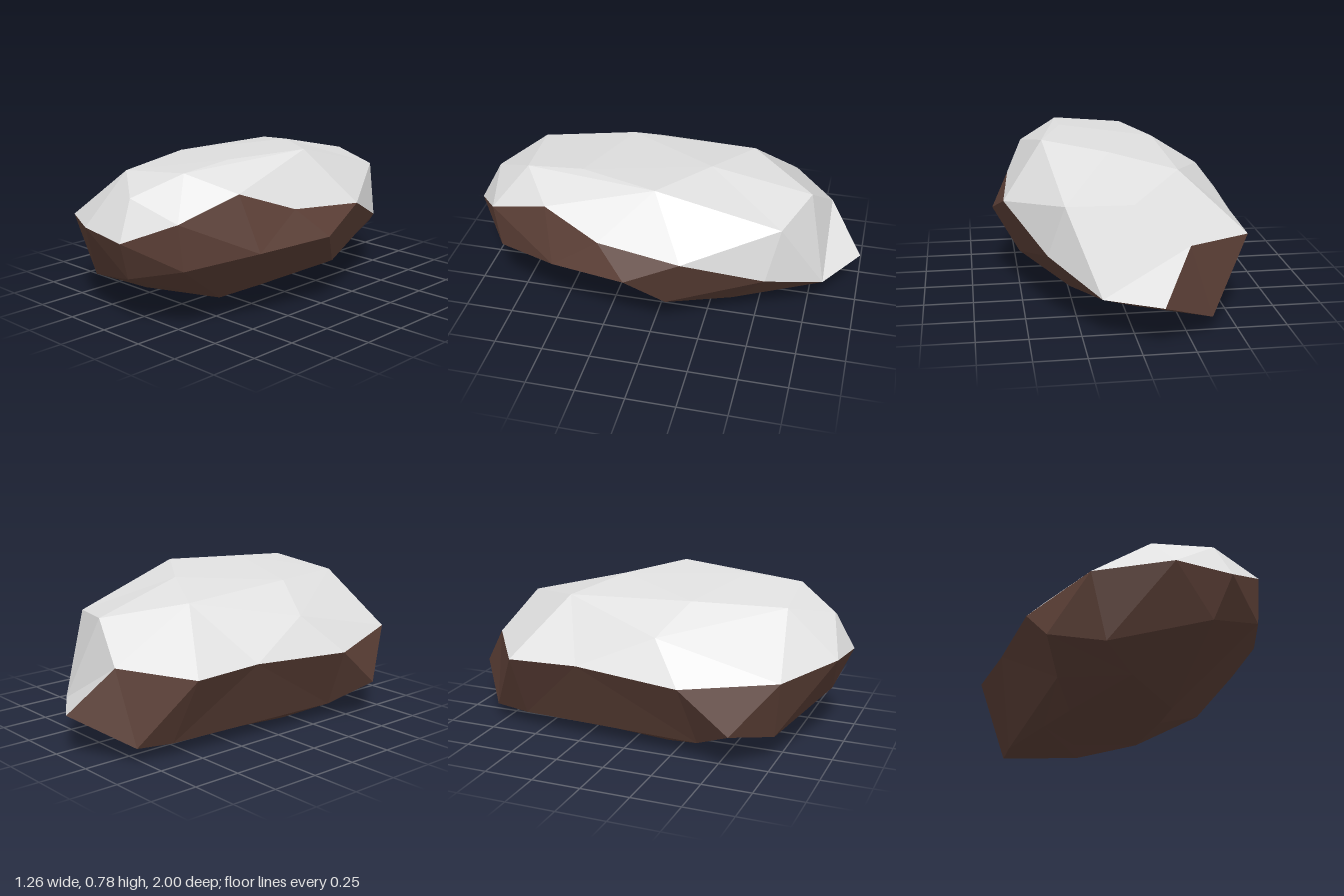
import * as THREE from 'three';

// Cross-section loops, each running front -> +x -> back -> -x, as [x, y, z]
const base = [
  [-0.18, 0.065, 0.58], [0.13, 0.03, 0.36], [0.18, 0.05, 0.12],
  [-0.15, 0.008, -0.25], [-0.36, 0.04, -0.14], [-0.34, 0.01, 0.18],
];
const belly = [
  [0.08, 0.25, 0.91], [0.37, 0.33, 0.82], [0.54, 0.38, 0.49], [0.63, 0.4, 0.1],
  [0.5, 0.21, -0.08], [0.27, 0.115, -0.38], [-0.05, 0.02, -0.46], [-0.37, 0.08, -0.79],
  [-0.4, 0.07, -0.6], [-0.48, 0.08, 0.38], [-0.61, 0.19, 0.58], [-0.38, 0.13, 0.74],
];
const tip = [-0.1, 0.22, -1];
const snowLine = [
  [0.14, 0.455, 1], [0.37, 0.56, 0.85], [0.45, 0.66, 0.54], [0.54, 0.55, 0.25], [0.58, 0.51, -0.17],
  [0.39, 0.34, -0.56], [0.16, 0.21, -0.83], tip, [-0.25, 0.45, -0.82], [-0.58, 0.42, -0.59],
  [-0.58, 0.43, -0.22], [-0.63, 0.4, 0.33], [-0.48, 0.44, 0.79], [-0.14, 0.475, 0.98],
];
const brow = [0.1, 0.645, 0.9];
const shoulder = [
  [0.24, 0.75, 0.69], [0.37, 0.78, 0], [0.31, 0.6, -0.62], [0, 0.63, -0.73],
  [-0.27, 0.7, -0.39], [-0.48, 0.59, 0.16], [-0.14, 0.71, 0.72],
];
const crown = [[0.24, 0.77, 0.4], [0.05, 0.757, -0.22], [-0.25, 0.725, 0.26]];

const distance = (p, q) => Math.hypot(p[0] - q[0], p[1] - q[1], p[2] - q[2]);

// Triangles between two loops of any size, always taking the shorter diagonal
function strip(lower, upper) {
  const faces = [];
  let i = 0, j = 0;
  while (i < lower.length || j < upper.length) {
    const a = lower[i % lower.length], nextA = lower[(i + 1) % lower.length];
    const b = upper[j % upper.length], nextB = upper[(j + 1) % upper.length];
    const stepLower = j === upper.length || (i < lower.length && distance(nextA, b) <= distance(a, nextB));
    if (stepLower) {
      faces.push(a, nextA, b);
      i++;
    } else {
      faces.push(a, nextB, b);
      j++;
    }
  }
  return faces;
}

// Closes the underside with a fan
function underside(loop, centre) {
  return loop.flatMap((p, i) => [centre, loop[(i + 1) % loop.length], p]);
}

// Unshared corners give each facet its own flat normal
function facetedMesh(name, faces, material) {
  const geometry = new THREE.BufferGeometry();
  geometry.setAttribute('position', new THREE.Float32BufferAttribute(faces.flat(), 3));
  geometry.computeVertexNormals();
  const mesh = new THREE.Mesh(geometry, material);
  mesh.name = name;
  return mesh;
}

export function createModel() {
  const rock = new THREE.MeshStandardMaterial({ color: 0x5d4037 });
  rock.name = 'brown rock';
  const snow = new THREE.MeshStandardMaterial({ color: 0xe0e0e0 });
  snow.name = 'pale snow';

  const group = new THREE.Group();
  group.name = 'snowyBoulder';

  // Bare stone below the snow line
  group.add(facetedMesh('boulder', [
    ...underside(base, [-0.22, 0, 0.06]),
    ...strip(base, belly),
    ...strip(belly, snowLine),
  ], rock));

  // Snow cover: one facet runs out to the back tip, one closes the brow, one closes the top
  const tipIndex = snowLine.indexOf(tip);
  group.add(facetedMesh('snowCap', [
    snowLine[tipIndex - 1], tip, snowLine[tipIndex + 1],
    ...strip(snowLine.filter((p) => p !== tip), [brow, ...shoulder]),
    brow, shoulder[0], shoulder[shoulder.length - 1],
    ...strip(shoulder, crown),
    ...crown,
  ], snow));

  return group;
}
